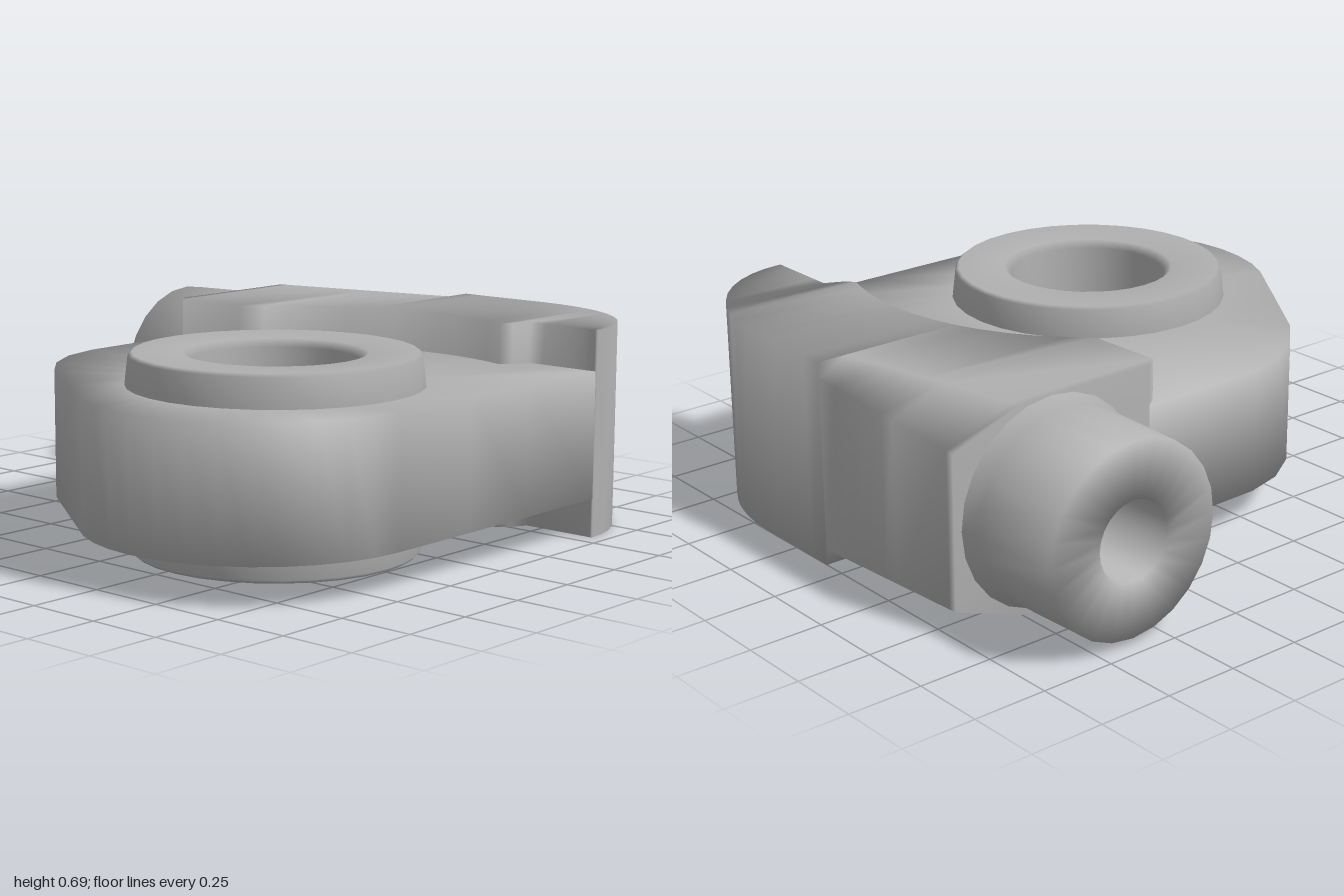
import * as THREE from 'three';
import { mergeVertices } from 'three/addons/utils/BufferGeometryUtils.js';

const CX = 0.345, CZ = 0.31;       // axis of the eye
const BOTTOM = 0.01, TOP = 0.695;  // height of the thick block

// Smooth skin over rows of points; every row is a closed loop
function loft(rows) {
  const n = rows[0].length, index = [];
  for (let i = 0; i < rows.length - 1; i++) {
    for (let j = 0; j < n; j++) {
      const k = (j + 1) % n;
      const a = i * n + j, b = (i + 1) * n + j, c = (i + 1) * n + k, d = i * n + k;
      index.push(a, b, c, a, c, d);
    }
  }
  let geo = new THREE.BufferGeometry();
  geo.setAttribute('position', new THREE.Float32BufferAttribute(rows.flat(2), 3));
  geo.setIndex(index);
  geo = mergeVertices(geo, 1e-4);
  geo.computeVertexNormals();
  return geo;
}

// Flat plate around the eye: rounded nose, slanted left flank
function plateGeometry() {
  const outline = [];
  for (let i = 0; i <= 12; i++) {
    const a = (i / 12) * Math.PI * 2 / 3;
    outline.push([0.395 + 0.56 * Math.cos(a), 0.44 + 0.56 * Math.sin(a)]);
  }
  outline.push([-0.12, 0.765], [-0.36, 0.6], [-0.47, 0.49], [-0.55, 0.36], [-0.585, 0.22],
    [-0.59, 0], [-0.59, -0.24], [-0.5, -0.6], [0, -0.7], [0.34, -0.7], [0.6, -0.7],
    [0.85, -0.62], [0.95, -0.56], [0.955, -0.2], [0.955, 0.1]);
  const edge = y => outline.map(([x, z]) => [x, y, z]);
  const circle = y => outline.map(([x, z]) => {
    const a = Math.atan2(z - CZ, x - CX);
    return [CX + 0.45 * Math.cos(a), y, CZ + 0.45 * Math.sin(a)];
  });
  return loft([circle(0.14), edge(0.14), edge(0.56), circle(0.56)]);
}

// Front wall of the block, hollowed in an arc around the eye
function frontZ(x) {
  if (x < -0.57) return -0.24;
  if (x < -0.31) return -0.2;
  if (x < 0.64) return CZ - Math.sqrt(0.83 ** 2 - (x - CX) ** 2);
  return x < 0.68 ? -0.5 : -0.56;
}

// Rear wall of the block, rounded toward the right-hand end
function backZ(x) {
  if (x < 0.42) return -1;
  return -0.57 - 0.43 * Math.sqrt(Math.max(0, 1 - ((x - 0.42) / 0.53) ** 2));
}

// Thick block: cross-sections along x, rear edges chamfered up to a step
function blockGeometry() {
  const section = (x, cz, cy) => {
    const f = frontZ(x), b = backZ(x);
    return [[x, BOTTOM, f], [x, TOP, f], [x, TOP, b + cz], [x, TOP - cy, b],
      [x, BOTTOM + cy, b], [x, BOTTOM, b + cz]];
  };
  const cap = row => {
    const z = (row[0][2] + row[3][2]) / 2;
    return row.map(p => [p[0], 0.35, z]);
  };
  const rows = [];
  for (const x of [-0.59, -0.56, -0.3, -0.24, -0.17, -0.09, 0, 0.08]) {
    const t = (x + 0.59) / 0.67;
    rows.push(section(x, 0.25 - 0.15 * t, 0.09 - 0.035 * t));
  }
  for (const x of [0.08, 0.16, 0.25, 0.34, 0.42, 0.5, 0.57, 0.63, 0.66, 0.69, 0.75,
    0.81, 0.86, 0.9, 0.93, 0.945, 0.95]) {
    rows.push(section(x, 0, 0));
  }
  return loft([cap(rows[0]), ...rows, cap(rows[rows.length - 1])]);
}

function lathe(points, segments) {
  return new THREE.LatheGeometry(points.map(([r, y]) => new THREE.Vector2(r, y)), segments);
}

export function createModel() {
  const group = new THREE.Group();
  const metal = new THREE.MeshStandardMaterial({ color: 0xb0b0b0 });
  metal.name = 'grey metal';
  const add = (name, geometry, x = 0, y = 0, z = 0) => {
    const mesh = new THREE.Mesh(geometry, metal);
    mesh.name = name;
    mesh.position.set(x, y, z);
    group.add(mesh);
  };

  add('eyePlate', plateGeometry());
  add('block', blockGeometry());

  // Raised collar with a through bore
  add('eyeCollar', lathe([[0.265, 0.06], [0.29, 0.037], [0.45, 0.03], [0.462, 0.042], [0.473, 0.14],
    [0.473, 0.56], [0.462, 0.655], [0.45, 0.665], [0.29, 0.66], [0.265, 0.635], [0.265, 0.06]], 32),
  CX, 0, CZ);

  // Round spout with a flared root and a blind hole
  const spout = lathe([[0.342, 0.56], [0.342, 0.59], [0.322, 0.645], [0.315, 0.96],
    [0.13, 0.96], [0.13, 0.62], [0, 0.62]], 24);
  spout.rotateZ(Math.PI / 2);
  add('spout', spout, 0, 0.352, -0.63);

  return group;
}
